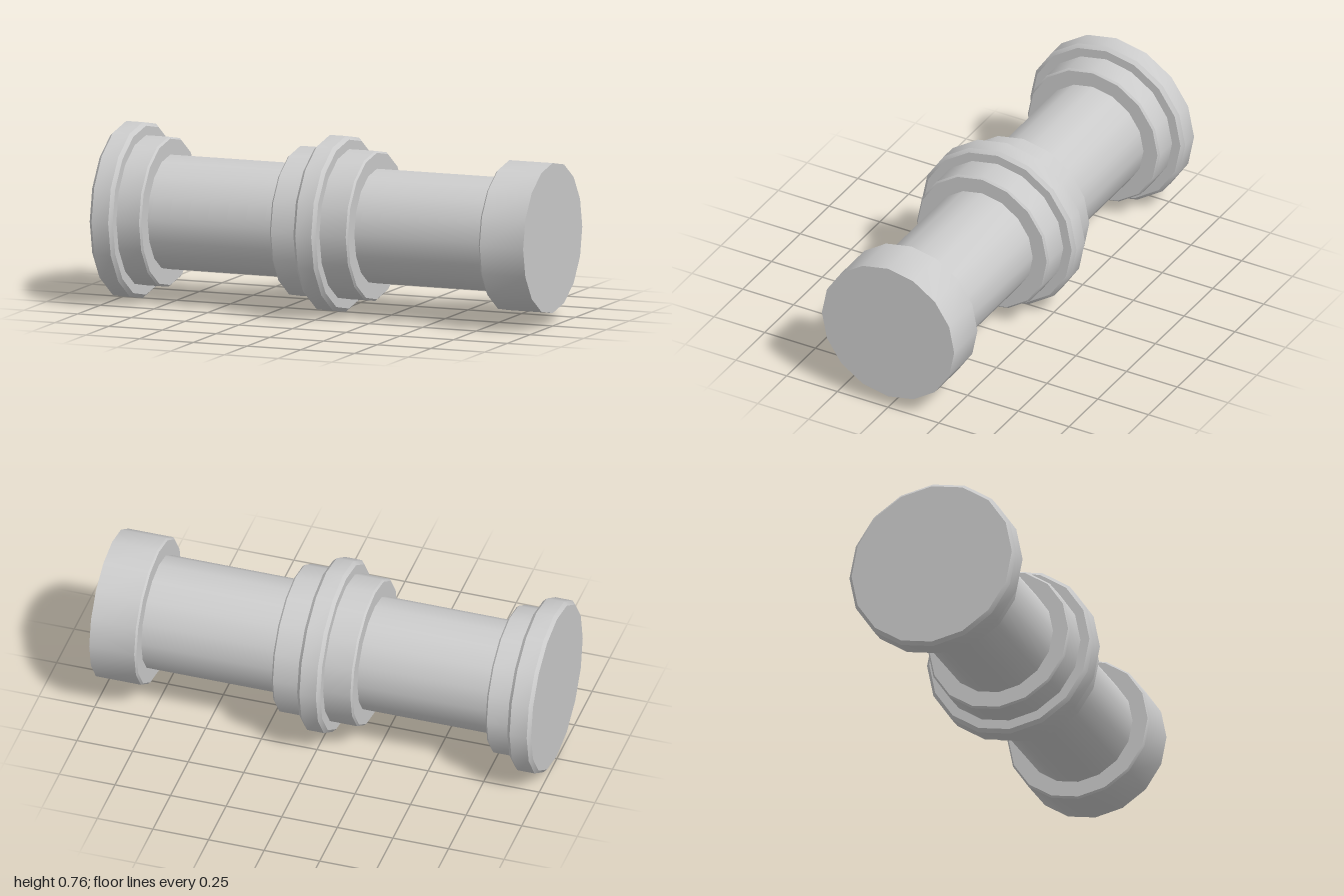
import * as THREE from 'three';
import { toCreasedNormals } from 'three/addons/utils/BufferGeometryUtils.js';

const SIDES = 16;
const FLANGE_R = 0.382, COLLAR_R = 0.326, PIPE_R = 0.249;
const BEVEL = 0.015;

export function createModel() {
  const group = new THREE.Group();
  const material = new THREE.MeshStandardMaterial({ color: 0xcccccc });

  // Closed 16-sided drum along x from x0 to x1, with optional chamfers at each end
  function drum(name, radius, x0, x1, bevel0 = 0, bevel1 = 0) {
    const profile = [[0, x0], [radius - bevel0, x0]];
    if (bevel0) profile.push([radius, x0 + bevel0]);
    if (bevel1) profile.push([radius, x1 - bevel1]);
    profile.push([radius - bevel1, x1], [0, x1]);
    const lathe = new THREE.LatheGeometry(profile.map(([r, x]) => new THREE.Vector2(r, x)), SIDES);
    lathe.rotateZ(-Math.PI / 2);
    const mesh = new THREE.Mesh(toCreasedNormals(lathe, 0.6), material);
    mesh.name = name;
    mesh.position.y = FLANGE_R;
    group.add(mesh);
  }

  // Straight pipe running through every fitting
  drum('pipe', PIPE_R, -0.95, 0.95);

  // Flanged end
  drum('endFlange', FLANGE_R, -1, -0.893, BEVEL, BEVEL);
  drum('flangeCollar', COLLAR_R, -0.94, -0.78, 0, 0.008);

  // Middle coupling
  drum('middleCollar', COLLAR_R, -0.182, 0.182, 0.008, 0.008);
  drum('middleRing', FLANGE_R, -0.052, 0.052, BEVEL, BEVEL);

  // Plain collar at the open end
  drum('endCollar', COLLAR_R, 0.79, 1, 0.008, 0);

  return group;
}
